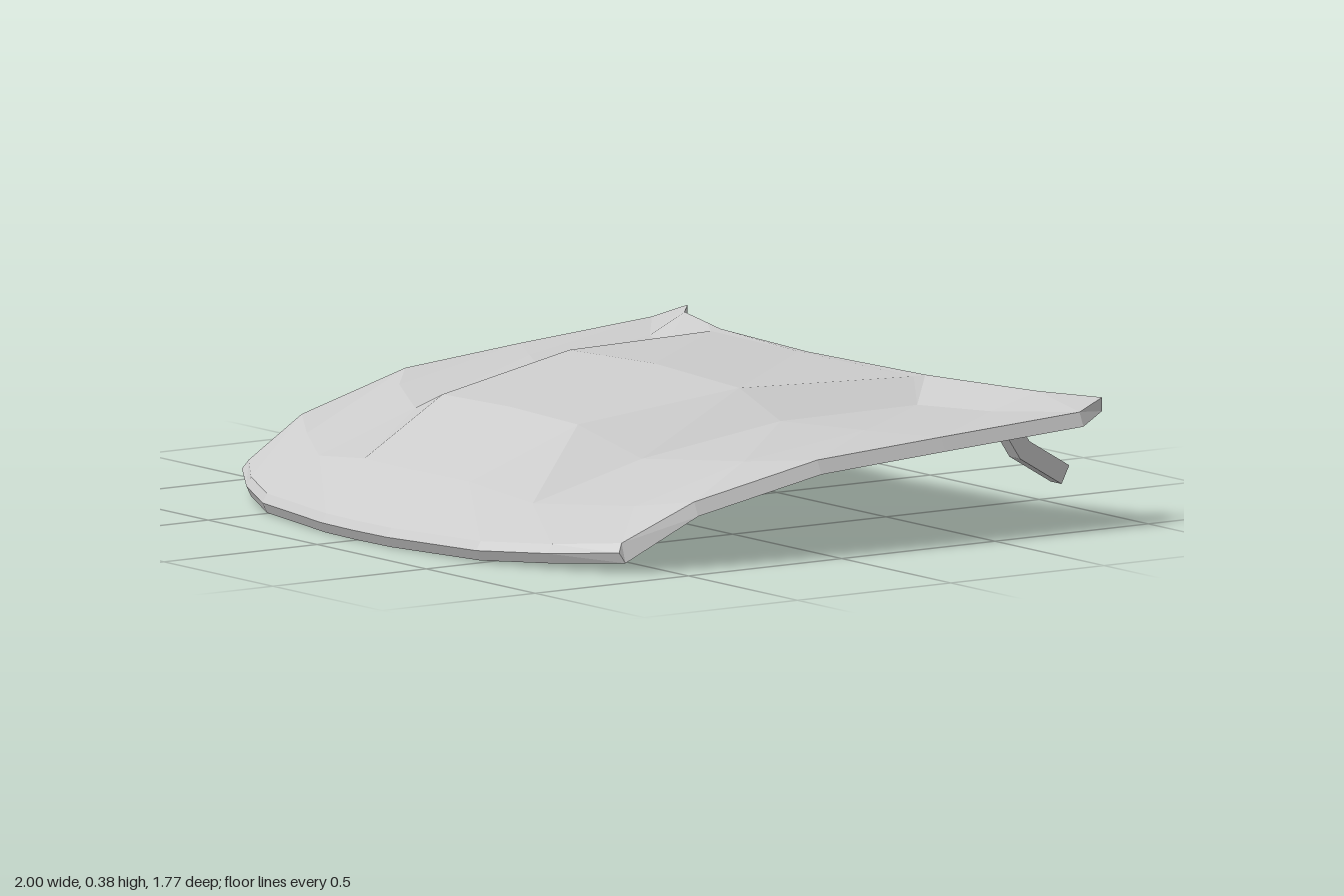
import * as THREE from 'three';

const material = new THREE.MeshStandardMaterial({ color: 0xcccccc, flatShading: true });

// Half cross-sections [x, y, z] from the centre line out to the side, rear to front
const HALF_ROWS = [
  [[0, .37, -.6], [.47, .365, -.65], [.6, .36, -.7], [.81, .354, -.775], [.95, .345, -.885]],
  [[0, .373, -.57], [.465, .363, -.615], [.58, .308, -.545], [.78, .308, -.64], [.98, .318, -.79]],
  [[0, .385, -.1], [.39, .37, -.1], [.55, .3, -.12], [.77, .293, -.24], [.965, .29, -.35]],
  [[0, .312, .37], [.31, .305, .37], [.52, .235, .31], [.79, .25, .17], [.945, .262, .04]],
  [[0, .17, .68], [.24, .17, .675], [.49, .142, .645], [.75, .155, .5], [.9, .178, .41]],
  [[0, .052, .87], [.15, .052, .865], [.49, .056, .815], [.69, .066, .725], [.855, .08, .615]],
];

const mirror = (half) => [
  ...half.slice(1).reverse().map(([x, y, z]) => [-x, y, z]),
  ...half,
];

// Quads between rows of points; the face looks along (row direction) x (column direction)
function addGrid(out, rows) {
  for (let i = 0; i < rows.length - 1; i++) {
    for (let j = 0; j < rows[i].length - 1; j++) {
      const a = rows[i][j], b = rows[i + 1][j], c = rows[i + 1][j + 1], d = rows[i][j + 1];
      out.push(...a, ...b, ...c, ...a, ...c, ...d);
    }
  }
}

function panelGeometry() {
  const last = HALF_ROWS.length - 1;
  const top = HALF_ROWS.map(mirror);
  // Underside: the skin dropped by its thickness, flaring out at the side rims
  const bottom = HALF_ROWS.map((row, i) => mirror(row.map(([x, y, z], j) => [
    x + (j === 4 && i > 0 ? .018 : 0),
    y - (i === last ? .052 : .037),
    z,
  ])));
  // Front lip stands slightly ahead of the skin
  const lip = mirror(HALF_ROWS[last].map(([x, y, z], j) =>
    [x + (j === 4 ? .01 : 0), y - .024, z + .015]));

  const out = [];
  addGrid(out, [...top, lip, ...bottom.slice().reverse(), top[0]]);
  // Side rims
  const edge = (rows, j) => [...rows.map((r) => r[j]), lip[j]];
  addGrid(out, [edge(bottom, 8), edge(top, 8)]);
  addGrid(out, [edge(top, 0), edge(bottom, 0)]);

  const geometry = new THREE.BufferGeometry();
  geometry.setAttribute('position', new THREE.Float32BufferAttribute(out, 3));
  geometry.computeVertexNormals();
  return geometry;
}

// Cranked bracket: side outline drawn as (-z, y), extruded across x
function hingeGeometry(width) {
  const outline = [[.59, .285], [.65, .195], [.785, .115], [.81, .163], [.68, .24], [.65, .285]];
  const shape = new THREE.Shape(outline.map(([u, v]) => new THREE.Vector2(u, v)));
  const geometry = new THREE.ExtrudeGeometry(shape, { depth: width, bevelEnabled: false });
  geometry.translate(0, 0, -width / 2);
  geometry.rotateY(Math.PI / 2);
  return geometry;
}

export function createModel() {
  const group = new THREE.Group();
  group.name = 'hood';

  const panel = new THREE.Mesh(panelGeometry(), material);
  panel.name = 'hoodPanel';
  group.add(panel);

  // Hinges under the rear corners
  for (const side of [1, -1]) {
    const hinge = new THREE.Mesh(hingeGeometry(.05), material);
    hinge.name = side > 0 ? 'leftHinge' : 'rightHinge';
    hinge.position.x = side * .88;
    group.add(hinge);
  }
  return group;
}
